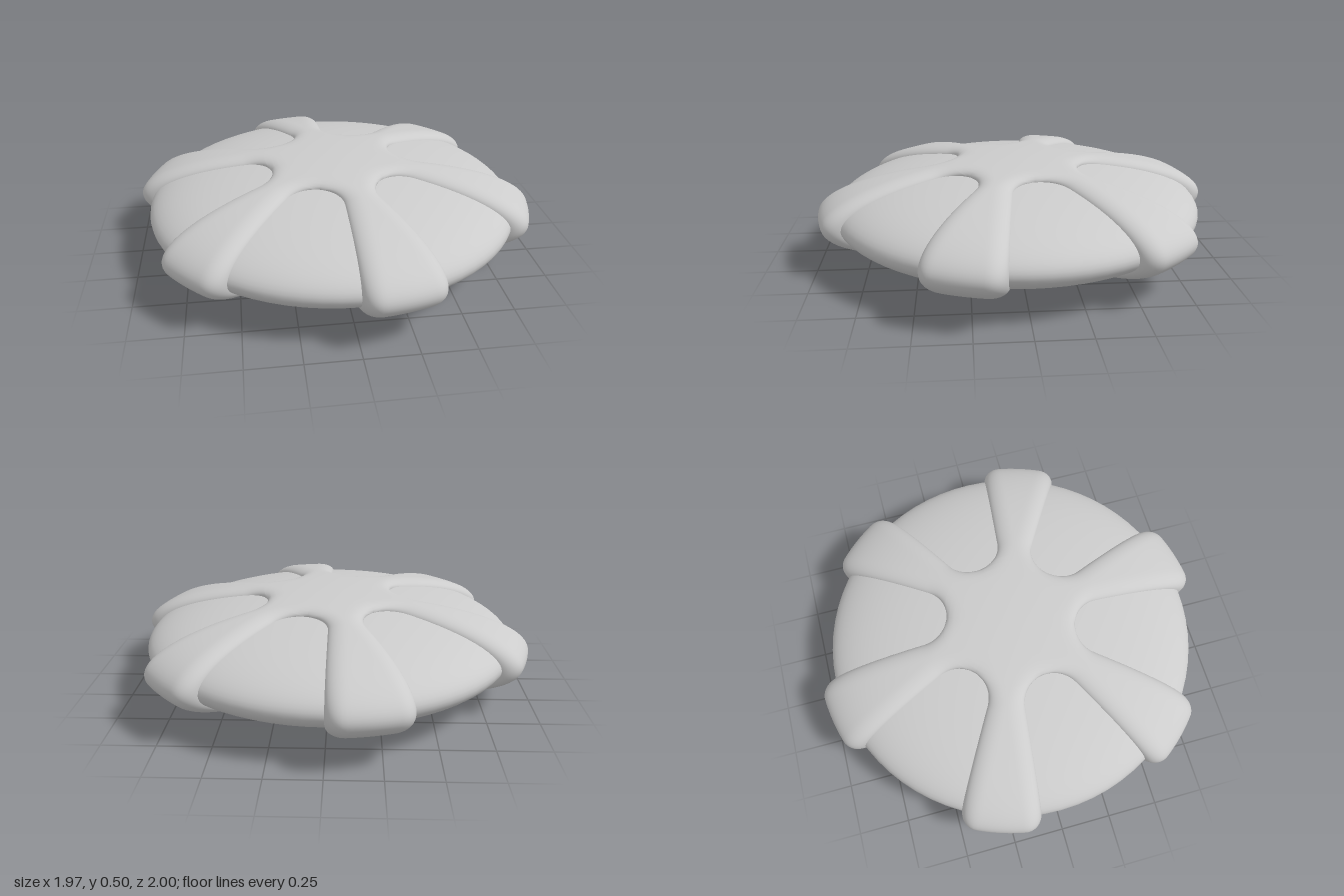
import * as THREE from 'three';
import { mergeVertices } from 'three/addons/utils/BufferGeometryUtils.js';

const ARMS = 6;
const MID_Y = 0.2485;
const SECTOR = Math.PI / ARMS;                 // half of one sixth
const ARM = THREE.MathUtils.degToRad(12);      // half-angle of an arm
const NOTCH = SECTOR - ARM;                    // half-angle of a notch
const NOTCH_C = 0.5;                           // centre of the notch's round end
const NOTCH_R = NOTCH_C * Math.sin(NOTCH);
const NOTCH_IN = NOTCH_C - NOTCH_R;            // where a notch starts
const NOTCH_T = NOTCH_C * Math.cos(NOTCH);     // where its sides become straight
const ROUND = 0.09;                            // width of the rounded shell edge
const OUTER = [1.005, 0.2485], INNER = [0.91, 0.205], BODY = [0.93, 0.216];

// Half-angle covered by the shell at radius r
function halfAngle(r) {
  if (r <= NOTCH_IN) return SECTOR;
  if (r >= NOTCH_T) return ARM;
  const c = (r * r + NOTCH_C ** 2 - NOTCH_R ** 2) / (2 * r * NOTCH_C);
  return SECTOR - Math.acos(Math.min(1, c));
}

// Distance from a shell point to the nearest notch edge
function edgeDistance(r, angle) {
  const a = SECTOR - Math.abs(angle);
  const x = r * Math.cos(a), y = r * Math.sin(a);
  const along = x * Math.cos(NOTCH) + y * Math.sin(NOTCH);
  const d = along > NOTCH_T
    ? y * Math.cos(NOTCH) - x * Math.sin(NOTCH)
    : Math.hypot(x - NOTCH_C, y) - NOTCH_R;
  return Math.max(0, d);
}

// Rows from the top pole over the rim to the bottom pole, as [radius, height] on a unit sphere
function shellRows() {
  const top = [];
  for (let i = 0; i < 10; i++) top.push(NOTCH_IN * Math.sin((i / 10) * Math.PI / 2));
  for (let i = 0; i < 10; i++) top.push(NOTCH_IN + (NOTCH_T - NOTCH_IN) * (i / 10) ** 2);
  const start = Math.acos(NOTCH_T);
  for (let i = 0; i <= 18; i++) top.push(Math.cos(start * (1 - i / 18)));
  const rows = top.map(r => [r, Math.sqrt(Math.max(0, 1 - r * r))]);
  return rows.concat(rows.slice(0, -1).reverse().map(([r, h]) => [r, -h]));
}

// Six-armed shell, swelling up from the body with rounded edges
function shellGeometry() {
  const rows = shellRows(), cols = 28, pos = [], index = [];
  for (let k = 0; k < ARMS; k++) {
    const axis = THREE.MathUtils.degToRad(18 + 60 * k);
    const base = pos.length / 3;
    for (const [r, h] of rows) {
      for (let j = 0; j <= cols; j++) {
        const angle = halfAngle(r) * Math.sin((j / cols - 0.5) * Math.PI);
        const d = Math.min(1, edgeDistance(r, angle) / ROUND);
        const swell = Math.sqrt(1 - (1 - d) ** 2);
        const R = THREE.MathUtils.lerp(INNER[0], OUTER[0], swell) * r;
        const y = THREE.MathUtils.lerp(INNER[1], OUTER[1], swell) * h;
        pos.push(R * Math.cos(axis + angle), y, R * Math.sin(axis + angle));
      }
    }
    for (let i = 0; i < rows.length - 1; i++) {
      for (let j = 0; j < cols; j++) {
        const a = base + i * (cols + 1) + j, c = a + cols + 1;
        index.push(a, a + 1, c, a + 1, c + 1, c);
      }
    }
  }
  const geo = new THREE.BufferGeometry();
  geo.setAttribute('position', new THREE.Float32BufferAttribute(pos, 3));
  geo.setIndex(index);
  const welded = mergeVertices(geo, 1e-5);
  welded.computeVertexNormals();
  return welded;
}

export function createModel() {
  const group = new THREE.Group();
  group.name = 'sixArmedDisc';
  const material = new THREE.MeshStandardMaterial({ color: 0xcccccc });

  // Lens-shaped body seen in the notches
  const bodyGeo = new THREE.SphereGeometry(1, 72, 40);
  bodyGeo.scale(BODY[0], BODY[1], BODY[0]);
  const body = new THREE.Mesh(bodyGeo, material);
  body.name = 'body';

  const shell = new THREE.Mesh(shellGeometry(), material);
  shell.name = 'armedShell';

  for (const part of [body, shell]) {
    part.position.y = MID_Y;
    group.add(part);
  }
  return group;
}
